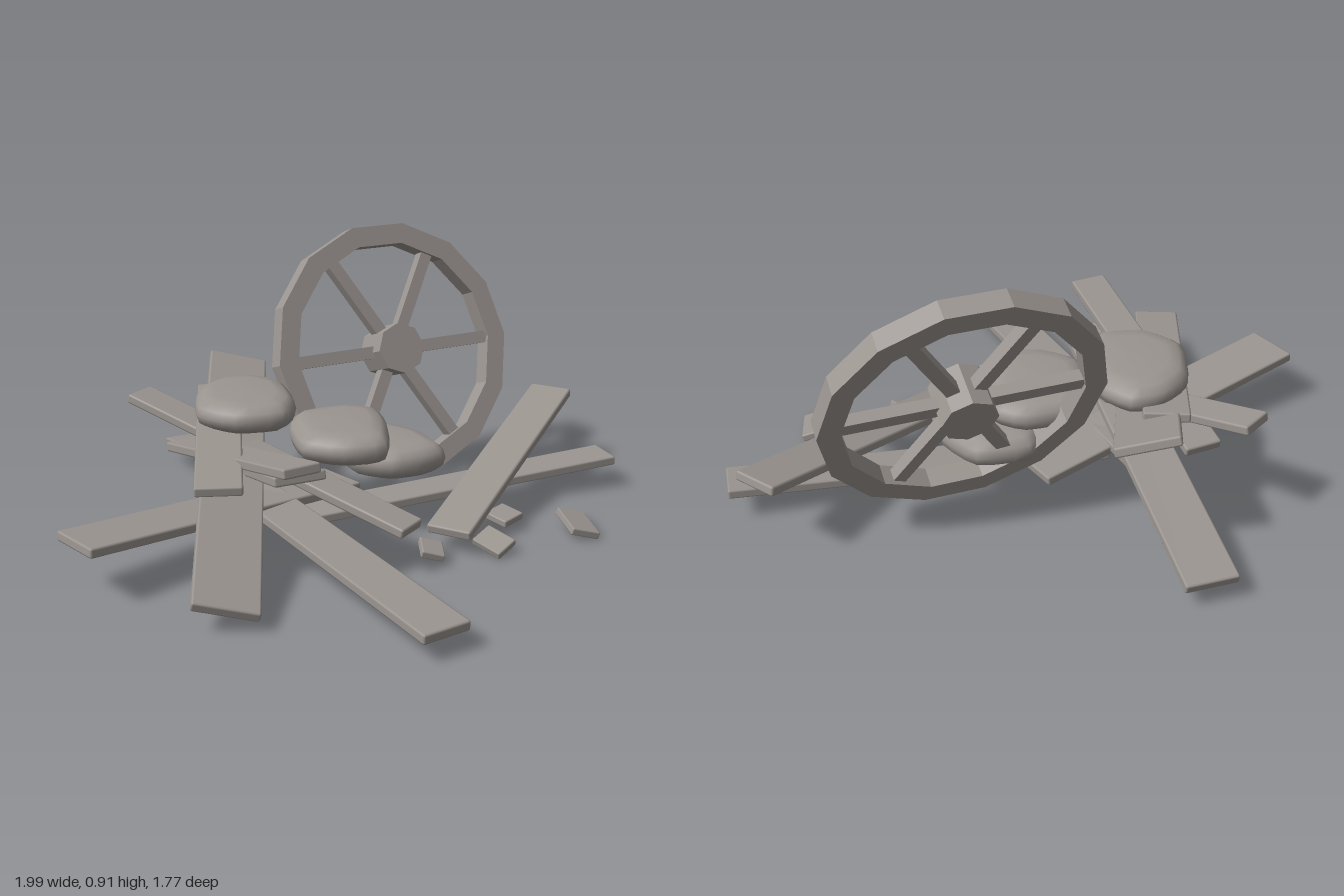
import * as THREE from 'three';
import { RoundedBoxGeometry } from 'three/addons/geometries/RoundedBoxGeometry.js';

const stone = new THREE.MeshStandardMaterial({ color: 0x9b9590 });
stone.name = 'weathered grey';
const V = (a) => new THREE.Vector3(...a);

function add(parent, geometry, name) {
  const mesh = new THREE.Mesh(geometry, stone);
  mesh.name = name;
  parent.add(mesh);
  return mesh;
}

// Board laid between two end centres, rolled about its length
function plank(parent, a, b, width, roll = 0, thick = 0.032) {
  const from = V(a), to = V(b), dir = to.clone().sub(from);
  const length = dir.length();
  dir.normalize();
  const side = new THREE.Vector3(0, 1, 0).cross(dir).normalize();
  const up = dir.clone().cross(side);
  const mesh = add(parent, new RoundedBoxGeometry(width, thick, length, 1, 0.007), 'plank');
  mesh.quaternion.setFromRotationMatrix(new THREE.Matrix4().makeBasis(side, up, dir));
  mesh.rotateZ(roll);
  mesh.position.copy(from).add(to).multiplyScalar(0.5);
}

// Flat rounded rock: its outline (x, z) lofted through a pillow profile
function rock(parent, outline, yMid, half) {
  const curve = new THREE.CatmullRomCurve3(outline.map(([x, z]) => new THREE.Vector3(x, 0, z)), true, 'catmullrom', 0.3);
  const n = 24, pts = curve.getPoints(n).slice(0, n);
  const c = pts.reduce((s, p) => s.add(p), new THREE.Vector3()).divideScalar(n);
  const profile = [[0, -1], [0.6, -0.97], [0.82, -0.85], [0.96, -0.5], [1, 0], [0.96, 0.5], [0.82, 0.85], [0.6, 0.97], [0, 1]];
  const position = [], index = [];
  profile.forEach(([s, h], r) => pts.forEach((p, i) => {
    position.push(c.x + (p.x - c.x) * s, yMid + h * half, c.z + (p.z - c.z) * s);
    if (r === profile.length - 1) return;
    const j = (i + 1) % n, a = r * n + i, b = r * n + j;
    if (r > 0) index.push(a, a + n, b);
    if (r < profile.length - 2) index.push(b, a + n, b + n);
    else if (r === 0) index.push(b, a + n, b + n);
  }));
  const g = new THREE.BufferGeometry();
  g.setAttribute('position', new THREE.Float32BufferAttribute(position, 3));
  g.setIndex(index);
  g.computeVertexNormals();
  // Pole vertices share one straight normal
  const normal = g.attributes.normal;
  for (let i = 0; i < n; i++) {
    normal.setXYZ(i, 0, -1, 0);
    normal.setXYZ((profile.length - 1) * n + i, 0, 1, 0);
  }
  add(parent, g, 'flatRock');
}

// Polygon with a flat side at the top
function polygon(Type, radius, sides, reverse) {
  const pts = [];
  for (let i = 0; i < sides; i++) {
    const t = Math.PI / 2 + (i + 0.5) * 2 * Math.PI / sides;
    pts.push(new THREE.Vector2(Math.cos(t) * radius, Math.sin(t) * radius));
  }
  return new Type(reverse ? pts.reverse() : pts);
}

function wheel(parent) {
  const group = new THREE.Group();
  group.name = 'wheel';
  const rimShape = polygon(THREE.Shape, 0.445, 14);
  rimShape.holes.push(polygon(THREE.Path, 0.375, 14, true));
  const rim = new THREE.ExtrudeGeometry(rimShape, { depth: 0.07, bevelEnabled: false });
  rim.translate(0, 0, -0.035);
  add(group, rim, 'rim');
  const hub = new THREE.CylinderGeometry(0.088, 0.088, 0.15, 8).toNonIndexed();
  hub.computeVertexNormals();
  hub.rotateX(Math.PI / 2);
  add(group, hub, 'hub');
  for (let i = 0; i < 6; i++) {
    const spoke = new THREE.BoxGeometry(0.32, 0.042, 0.042);
    spoke.translate(0.225, 0, 0);
    spoke.rotateZ(i * Math.PI / 3);
    add(group, spoke, 'spoke');
  }
  group.position.set(0.31, 0.495, -0.325);
  group.rotation.x = -0.345;
  parent.add(group);
}

export function createModel() {
  const model = new THREE.Group();
  model.name = 'wreckagePile';

  // Scattered planks
  const planks = new THREE.Group();
  planks.name = 'planks';
  model.add(planks);
  [
    [[-0.26, 0.08, -0.88], [-0.305, 0.32, 0.23], 0.17],
    [[-0.14, 0.44, -0.65], [-0.66, 0.075, 0.49], 0.2, -0.25],
    [[0.165, 0.08, 0.315], [0.93, 0.285, -0.23], 0.15],
    [[-0.97, 0.185, 0.09], [0.05, 0.1, -0.2], 0.185],
    [[-0.25, 0.05, -0.09], [0.985, 0.11, 0.04], 0.135],
    [[-0.175, 0.08, 0.88], [-0.31, 0.135, -0.35], 0.16],
    [[0.0, 0.15, 0.375], [-0.535, 0.385, -0.58], 0.115],
    [[-0.28, 0.4, -0.48], [-0.565, 0.32, 0.22], 0.145],
    [[-0.37, 0.41, 0.385], [-0.43, 0.23, -0.45], 0.125],
  ].forEach((p) => plank(planks, ...p));

  // Flat rocks resting on the planks
  rock(model, [[-0.3, -0.42], [-0.19, -0.41], [-0.125, -0.29], [-0.165, -0.1], [-0.25, -0.01], [-0.4, -0.05], [-0.475, -0.18], [-0.41, -0.35]], 0.42, 0.052);
  rock(model, [[-0.09, -0.26], [0.09, -0.25], [0.17, -0.17], [0.14, -0.04], [0.04, 0.14], [-0.1, 0.11], [-0.195, 0], [-0.16, -0.17]], 0.315, 0.054);
  rock(model, [[0.08, -0.28], [0.25, -0.25], [0.32, -0.11], [0.31, 0.05], [0.22, 0.08], [0.1, 0.06], [0.01, -0.05], [0.02, -0.2]], 0.22, 0.055);

  wheel(model);

  // Splinters on the ground: position, width, length, rotation
  [
    [0.09, 0.05, 0.34, 0.075, 0.085, -0.4, 0.2, -0.2],
    [0.305, 0.04, 0.365, 0.085, 0.11, 0.35, 0.2, 0.25],
    [0.43, 0.055, 0.23, 0.09, 0.09, 0.3, 0.1, 0.05],
    [0.63, 0.04, 0.365, 0.1, 0.15, -0.25, 0.1, -0.25],
    [-0.18, 0.045, 0.36, 0.08, 0.09, 0.2, 0.1, -0.1],
  ].forEach(([x, y, z, w, l, ry, rx, rz]) => {
    const chip = add(model, new RoundedBoxGeometry(w, 0.025, l, 1, 0.005), 'splinter');
    chip.position.set(x, y, z);
    chip.rotation.set(rx, ry, rz);
  });

  return model;
}
